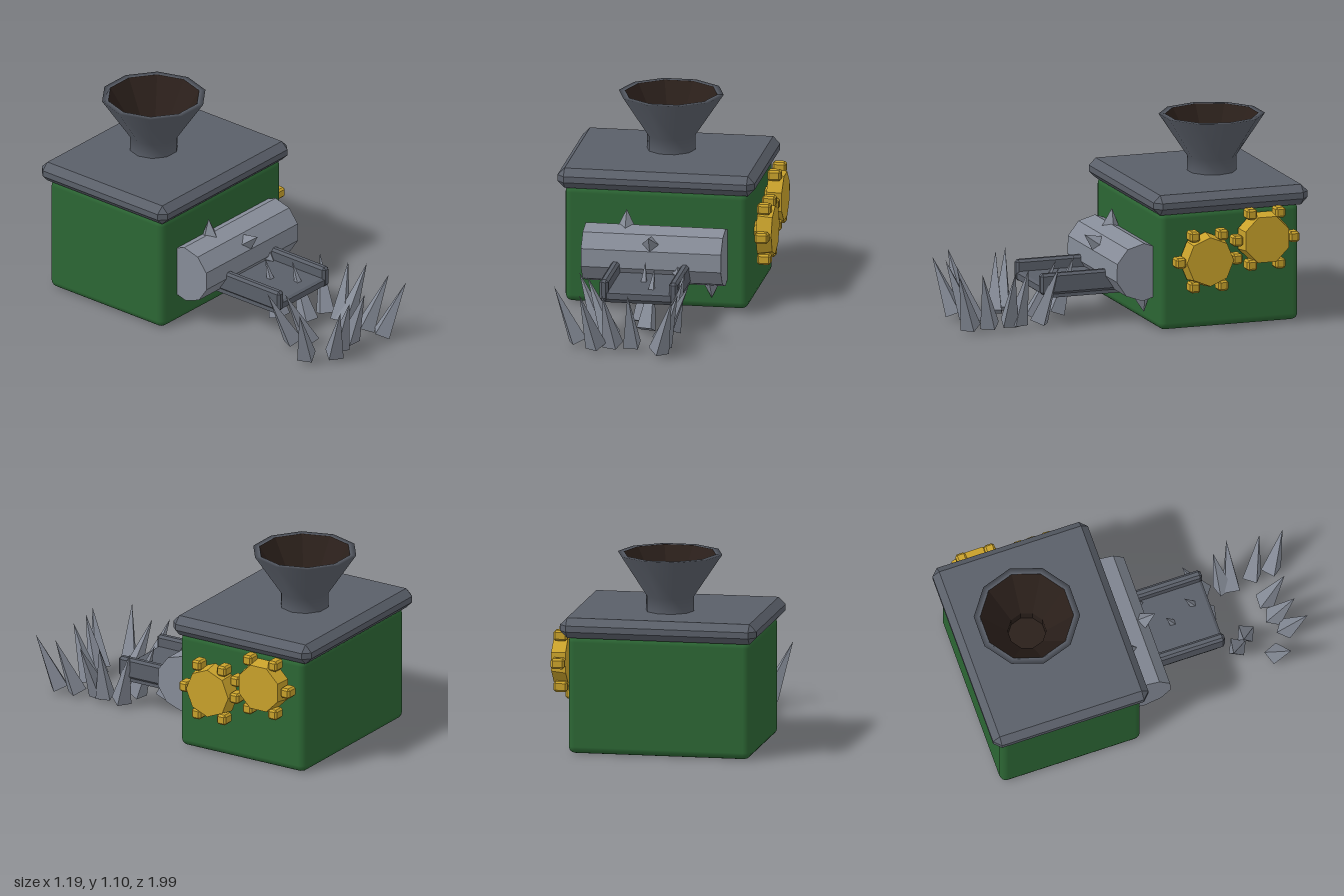
import * as THREE from 'three';
import { RoundedBoxGeometry } from 'three/addons/geometries/RoundedBoxGeometry.js';
import { ConvexGeometry } from 'three/addons/geometries/ConvexGeometry.js';

const mat = (color, extra = {}) => new THREE.MeshStandardMaterial({ color, ...extra });

// Box with every edge cut by a single chamfer
function chamferBox(w, h, d, c) {
  const points = [];
  for (const x of [-1, 1]) for (const y of [-1, 1]) for (const z of [-1, 1]) {
    for (const [a, b, e] of [[0, c, c], [c, 0, c], [c, c, 0]]) {
      points.push(new THREE.Vector3(x * (w / 2 - a), y * (h / 2 - b), z * (d / 2 - e)));
    }
  }
  return new ConvexGeometry(points);
}

export function createModel() {
  const model = new THREE.Group();
  const green = mat(0x2c6634);
  const dark = mat(0x5a5f69, { flatShading: true });
  const steel = mat(0x868c98, { flatShading: true });
  const gold = mat(0xc9a22b, { flatShading: true });
  const soot = mat(0x2a1f1a, { flatShading: true, side: THREE.DoubleSide });

  function add(name, geometry, material, x = 0, y = 0, z = 0, parent = model) {
    const mesh = new THREE.Mesh(geometry, material);
    mesh.name = name;
    mesh.position.set(x, y, z);
    parent.add(mesh);
    return mesh;
  }

  // Four-sided spike running from the centre of its base to its tip
  function spike(name, base, tip, radius, parent) {
    const axis = tip.clone().sub(base);
    const mesh = add(name, new THREE.ConeGeometry(radius, axis.length(), 4).rotateY(Math.PI / 4), steel, 0, 0, 0, parent);
    mesh.position.copy(base).lerp(tip, 0.5);
    mesh.quaternion.setFromUnitVectors(new THREE.Vector3(0, 1, 0), axis.normalize());
    return mesh;
  }

  // Housing and lid
  add('body', new RoundedBoxGeometry(1.04, 0.675, 0.83, 2, 0.04), green, -0.04, 0.34, -0.535);
  add('lid', chamferBox(1.12, 0.115, 0.92, 0.04), dark, -0.04, 0.7225, -0.54);

  // Funnel: ten-sided outer wall, flat rim and sooty inside
  const lathe = (pts) => new THREE.LatheGeometry(pts.map(([r, y]) => new THREE.Vector2(r, y)), 10, Math.PI / 2);
  add('funnel', lathe([[0.138, 0.77], [0.138, 0.865], [0.298, 1.105], [0.262, 1.105]]),
    mat(0x5a5f69, { side: THREE.DoubleSide }), -0.04, 0, -0.62);
  add('funnelInside', lathe([[0.262, 1.105], [0.108, 0.865], [0.108, 0.79], [0, 0.79]]), soot, -0.04, 0, -0.62);

  // Ten-sided roller
  const rollerY = 0.32, rollerZ = -0.062;
  const roller = new THREE.CylinderGeometry(0.165, 0.165, 0.795, 10).rotateZ(Math.PI / 2);
  add('roller', roller, steel, -0.033, rollerY, rollerZ).rotation.x = -THREE.MathUtils.degToRad(20);

  // Spikes around the roller: x and angle up from the front
  const rollerSpikes = new THREE.Group();
  rollerSpikes.name = 'rollerSpikes';
  model.add(rollerSpikes);
  for (const [x, degrees] of [[-0.2, 95], [-0.04, 36], [0.28, -98], [0.12, -22], [0.2, 160], [-0.3, 215]]) {
    const a = THREE.MathUtils.degToRad(degrees);
    const at = (r) => new THREE.Vector3(x, rollerY + r * Math.sin(a), rollerZ + r * Math.cos(a));
    const s = spike('rollerSpike', at(0.13), at(degrees === -22 ? 0.2 : 0.25), 0.06, rollerSpikes);
    s.geometry.rotateY(Math.PI / 4);
  }

  // Chute: floor with an undercut front edge, and two side rails
  const floor = new THREE.Shape();
  [[-0.1, 0.17], [0.43, 0.17], [0.475, 0.2], [0.475, 0.235], [0.46, 0.245], [-0.1, 0.245]]
    .forEach(([z, y], i) => (i ? floor.lineTo(-z, y) : floor.moveTo(-z, y)));
  const floorGeometry = new THREE.ExtrudeGeometry(floor, { depth: 0.42, bevelEnabled: false });
  floorGeometry.rotateY(Math.PI / 2);
  add('chuteFloor', floorGeometry, dark, -0.25, 0, 0);
  for (const side of [-1, 1]) {
    add('chuteRail', chamferBox(0.05, 0.12, 0.58, 0.014), dark, -0.038 + side * 0.197, 0.25, 0.19);
  }

  // Gears: eight-sided disc with six chamfered teeth
  for (const [y, z, turn] of [[0.402, -0.378, 0], [0.504, -0.718, Math.PI / 8]]) {
    const gear = new THREE.Group();
    gear.name = 'gear';
    gear.position.set(0.545, y, z);
    model.add(gear);
    add('gearDisc', new THREE.CylinderGeometry(0.14, 0.155, 0.085, 8).rotateZ(-Math.PI / 2).rotateX(turn),
      gold, 0.005, 0, 0, gear);
    add('axle', new THREE.CylinderGeometry(0.05, 0.05, 0.08, 8).rotateZ(Math.PI / 2), gold, -0.06, 0, 0, gear);
    for (let i = 0; i < 6; i++) {
      const a = (i * Math.PI) / 3;
      add('tooth', chamferBox(0.078, 0.06, 0.06, 0.011), gold, 0, 0.168 * Math.sin(a), 0.168 * Math.cos(a), gear);
    }
  }

  // Ring of ground spikes leaning outwards: tip x, z then base x, z
  const shards = new THREE.Group();
  shards.name = 'groundSpikes';
  model.add(shards);
  const layout = [
    [-0.37, 0.49, -0.23, 0.56], [-0.31, 0.57, -0.17, 0.63], [-0.46, 0.8, -0.335, 0.745],
    [-0.29, 0.955, -0.215, 0.85], [-0.17, 0.92, -0.125, 0.81], [-0.025, 0.91, -0.02, 0.795],
    [0.24, 0.99, 0.15, 0.89], [0.25, 0.855, 0.145, 0.775], [0.28, 0.67, 0.12, 0.645],
    [0.23, 0.575, 0.13, 0.6], [0.21, 0.385, 0.145, 0.48], [0.03, 0.335, 0.005, 0.47],
    [-0.045, 0.2, -0.05, 0.31],
  ];
  for (const [tx, tz, bx, bz] of layout) {
    const s = spike('groundSpike', new THREE.Vector3(bx, 0.035, bz), new THREE.Vector3(tx, 0.352, tz), 0.06, shards);
    s.geometry.rotateY(Math.atan2(tx - bx, tz - bz));
  }
  return model;
}
